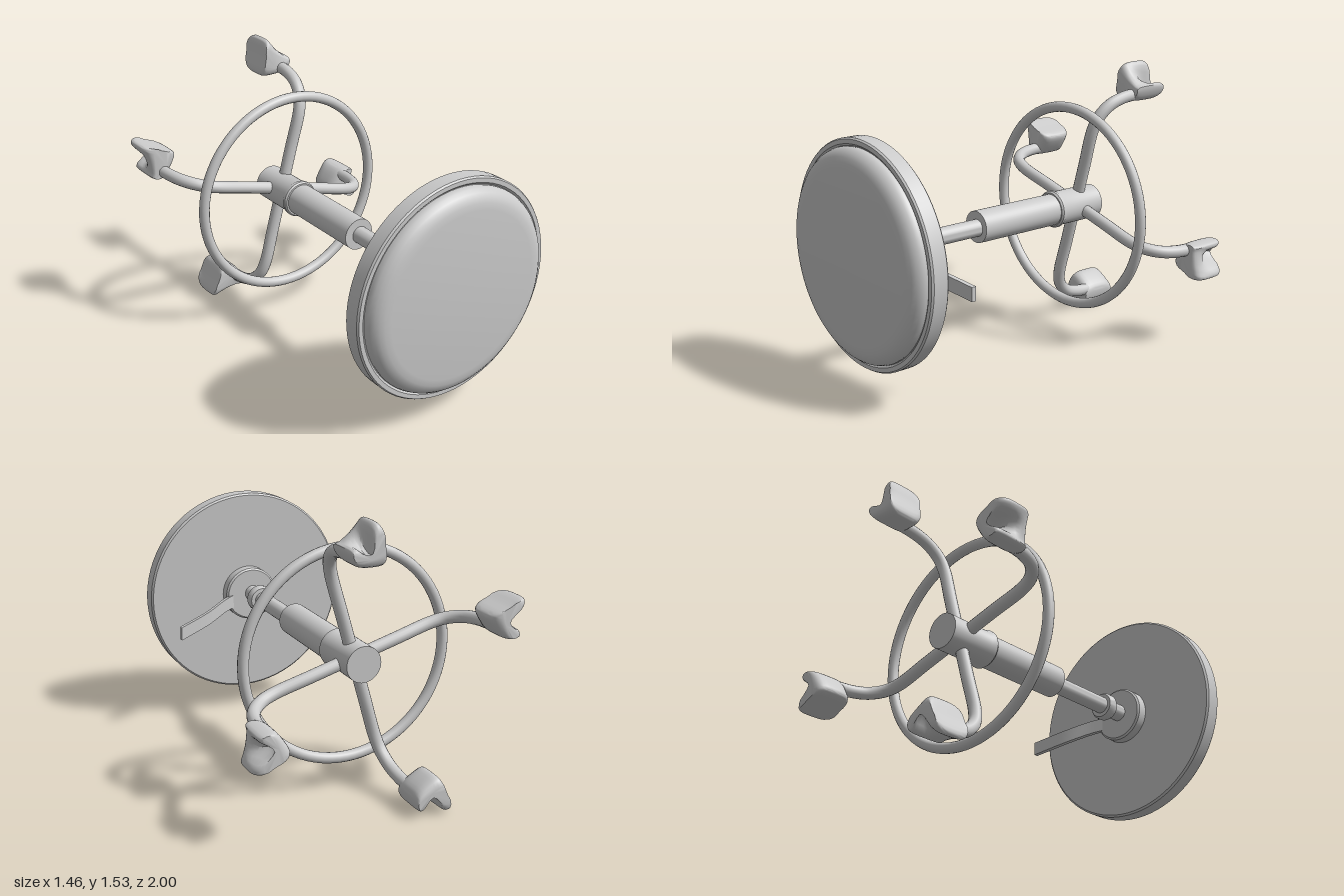
import * as THREE from 'three';
import { toCreasedNormals } from 'three/addons/utils/BufferGeometryUtils.js';

const material = new THREE.MeshStandardMaterial({ color: 0xcccccc });

function addMesh(parent, name, geometry) {
  const mesh = new THREE.Mesh(geometry, material);
  mesh.name = name;
  parent.add(mesh);
  return mesh;
}

// Revolved part lying along z; profile is [radius, z] from back to front
function turned(parent, name, x, y, profile, segments = 48) {
  const points = profile.map(([r, z]) => new THREE.Vector2(r, z));
  const geometry = new THREE.LatheGeometry(points, segments).rotateX(Math.PI / 2);
  addMesh(parent, name, toCreasedNormals(geometry, 0.6)).position.set(x, y, 0);
}

// Rounded caster hood: solid towards the stool, with a slot opening at the floor side
function casterGeometry(side) {
  const rows = 12, count = 40, positions = [], index = [];
  for (let i = 0; i <= rows; i++) {
    const t = -Math.cos((i / rows) * Math.PI); // -1 at the leg, 1 at the floor
    const z = -0.895 - 0.105 * t;
    const k = 0.5 + 0.5 * Math.pow(Math.max(0, 1 - t ** 4), 0.5);
    const slot = THREE.MathUtils.smoothstep(t, -0.6, 0.6);
    const notch = THREE.MathUtils.lerp(0.095, 0.0, slot);
    const outline = [
      [-0.07, 0.1], [-0.05, 0.115], [0.04, 0.122], [0.13, 0.13], [0.143, 0.115], [0.125, 0.088],
      [notch, 0.045], [0.065, -0.02], [0.062, -0.042], [0.0, -0.042], [-0.03, -0.025], [-0.06, 0.04],
    ].map(([u, v]) => new THREE.Vector3(0.03 + (u - 0.03) * k, v * side, z));
    if (side > 0) outline.reverse();
    const loop = new THREE.CatmullRomCurve3(outline, true, 'centripetal').getPoints(count);
    for (let j = 0; j < count; j++) positions.push(loop[j].x, loop[j].y, loop[j].z);
  }
  const back = positions.length / 3;
  positions.push(-0.01, 0.04 * side, -0.79, -0.01, 0.04 * side, -1.0);
  for (let j = 0; j < count; j++) {
    const n = (j + 1) % count, last = rows * count;
    for (let i = 0; i < rows; i++) {
      const a = i * count + j, b = i * count + n;
      index.push(a, b, a + count, b, b + count, a + count);
    }
    index.push(back, n, j, back + 1, last + j, last + n);
  }
  const geometry = new THREE.BufferGeometry();
  geometry.setAttribute('position', new THREE.Float32BufferAttribute(positions, 3));
  // keep every face pointing outwards
  for (let i = 0; i < index.length; i += 3) [index[i + 1], index[i + 2]] = [index[i + 2], index[i + 1]];
  geometry.setIndex(index);
  return toCreasedNormals(geometry, 0.7);
}

export function createModel() {
  const stool = new THREE.Group();
  stool.name = 'stool';

  // Seat: rimmed pan with a padded cushion, facing the front
  turned(stool, 'seatPan', 0.033, 0.745, [
    [0, 0.83], [0.585, 0.83], [0.595, 0.84], [0.595, 0.92], [0.588, 0.93], [0.565, 0.93], [0.555, 0.92], [0, 0.92],
  ], 80);
  turned(stool, 'seatCushion', 0.033, 0.745, [
    [0.55, 0.9], [0.553, 0.935], [0.545, 0.955], [0.53, 0.973], [0.51, 0.987], [0.485, 0.996], [0.45, 1], [0, 1],
  ], 80);

  // Central column
  turned(stool, 'seatHub', 0.03, 0.746, [
    [0, 0.765], [0.145, 0.765], [0.155, 0.775], [0.155, 0.84], [0, 0.84],
  ]);
  turned(stool, 'liftRod', 0.022, 0.75, [[0, 0.1], [0.047, 0.1], [0.047, 0.77], [0, 0.77]], 32);
  turned(stool, 'rodCollar', 0.025, 0.75, [
    [0.045, 0.605], [0.068, 0.607], [0.076, 0.62], [0.076, 0.655], [0.068, 0.67], [0.045, 0.673],
  ]);
  turned(stool, 'columnSleeve', 0.015, 0.753, [[0, -0.42], [0.088, -0.42], [0.088, 0.178], [0, 0.178]]);
  turned(stool, 'baseHub', 0.013, 0.753, [
    [0, -0.668], [0.096, -0.668], [0.096, -0.4], [0.104, -0.385], [0.104, -0.368], [0.096, -0.358], [0, -0.358],
  ]);

  // Height lever: thin bent strip sloping down and away from the hub
  const leverPath = new THREE.CatmullRomCurve3([
    new THREE.Vector3(0.13, 0.715, 0.785), new THREE.Vector3(0.21, 0.7, 0.745),
    new THREE.Vector3(0.34, 0.66, 0.675), new THREE.Vector3(0.53, 0.61, 0.608),
  ]);
  const lever = new THREE.BoxGeometry(1, 0.075, 0.026, 14, 1, 1);
  const p = lever.attributes.position;
  for (let i = 0; i < p.count; i++) {
    const c = leverPath.getPoint(p.getX(i) + 0.5);
    p.setXYZ(i, c.x, c.y + p.getY(i), c.z + p.getZ(i));
  }
  addMesh(stool, 'heightLever', toCreasedNormals(lever, 0.6));

  // Foot ring
  addMesh(stool, 'footRing', new THREE.TorusGeometry(0.564, 0.029, 14, 80)).position.set(0.022, 0.755, -0.485);

  // Four bent legs with casters
  const legPath = new THREE.CatmullRomCurve3([
    [0, -0.55], [0.25, -0.55], [0.46, -0.55], [0.54, -0.575], [0.605, -0.64], [0.638, -0.73], [0.65, -0.85],
  ].map(([x, z]) => new THREE.Vector3(x, 0, z)));
  for (let i = 0; i < 4; i++) {
    const leg = new THREE.Group();
    leg.name = 'leg';
    leg.position.set(0.013, 0.755, 0);
    leg.rotation.z = THREE.MathUtils.degToRad(74 + 90 * i);
    addMesh(leg, 'legTube', new THREE.TubeGeometry(legPath, 40, 0.034, 14));
    addMesh(leg, 'caster', casterGeometry(i === 0 ? 1 : -1)).position.x = 0.65;
    stool.add(leg);
  }
  return stool;
}
